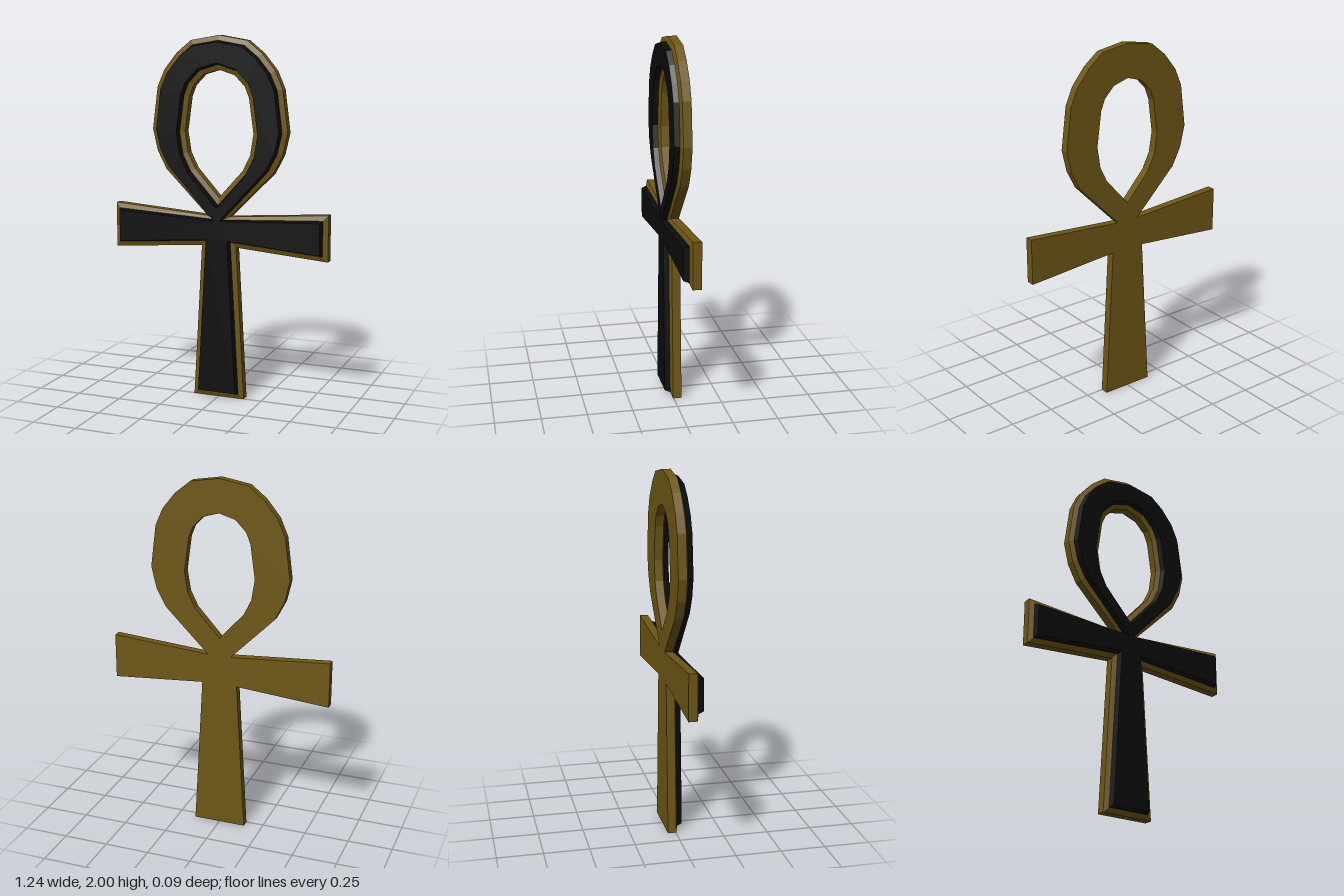
import * as THREE from 'three';

// Right half of each contour; the left half is mirrored
const OUTER = [[0.148, 0], [0.1, 0.857], [0.62, 0.815], [0.62, 1.066], [0.065, 1.025], [0.31, 1.27], [0.362, 1.37],
  [0.39, 1.49], [0.36, 1.72], [0.318, 1.815], [0.245, 1.905], [0.16, 1.973], [0, 2]];
const HOLE = [[0, 1.127], [0.138, 1.28], [0.18, 1.365], [0.198, 1.48], [0.172, 1.67], [0.148, 1.73], [0.09, 1.79], [0, 1.817]];

function mirrored(half) {
  const left = half.filter(p => p[0] > 0).map(([x, y]) => [-x, y]).reverse();
  return [...half, ...left].map(([x, y]) => new THREE.Vector2(x, y));
}

// Moves a closed contour into the solid (left of travel), with limited mitres
function inset(points, d) {
  const n = points.length;
  const normal = (a, b) => new THREE.Vector2(a.y - b.y, b.x - a.x).normalize();
  return points.map((p, i) => {
    const n1 = normal(points[(i + n - 1) % n], p);
    const n2 = normal(p, points[(i + 1) % n]);
    const m = n1.clone().add(n2).normalize();
    return p.clone().addScaledVector(m, d * Math.min(1 / m.dot(n1), 1.55));
  });
}

const outer = mirrored(OUTER);
const hole = mirrored(HOLE).reverse();

// Sloped wall between two [inset, z] levels, around both contours
function addWalls(out, [d0, z0], [d1, z1]) {
  for (const contour of [outer, hole]) {
    const a = inset(contour, d0), b = inset(contour, d1);
    a.forEach((p, i) => {
      const j = (i + 1) % a.length;
      const q = a[j], r = b[j], s = b[i];
      out.push(p.x, p.y, z0, q.x, q.y, z0, r.x, r.y, z1, p.x, p.y, z0, r.x, r.y, z1, s.x, s.y, z1);
    });
  }
}

// Flat face with the eye cut out, facing front or back
function addCap(out, [d, z], front) {
  const a = inset(outer, d), b = inset(hole, d);
  const all = [...a, ...b];
  for (const [i, j, k] of THREE.ShapeUtils.triangulateShape(a, [b])) {
    const area = (all[j].x - all[i].x) * (all[k].y - all[i].y) - (all[j].y - all[i].y) * (all[k].x - all[i].x);
    const order = (area > 0) === front ? [i, j, k] : [i, k, j];
    for (const v of order) out.push(all[v].x, all[v].y, z);
  }
}

function makeMesh(name, positions, color) {
  const geometry = new THREE.BufferGeometry();
  geometry.setAttribute('position', new THREE.Float32BufferAttribute(positions, 3));
  geometry.computeVertexNormals();
  const mesh = new THREE.Mesh(geometry, new THREE.MeshStandardMaterial({ color, flatShading: true }));
  mesh.name = name;
  return mesh;
}

export function createModel() {
  const group = new THREE.Group();
  group.name = 'loopedCross';
  const back = [0, -0.044], rim = [0, 0.003], lip = [0.027, 0.014], face = [0.036, 0.043];

  // Gold backing with a bevelled border
  const gold = [];
  addCap(gold, back, false);
  addWalls(gold, back, rim);
  addWalls(gold, rim, lip);
  group.add(makeMesh('goldFrame', gold, 0x6e5716));

  // Raised black inlay with tapered sides
  const black = [];
  addWalls(black, lip, face);
  addCap(black, face, true);
  group.add(makeMesh('blackInlay', black, 0x0c0c0c));

  return group;
}
